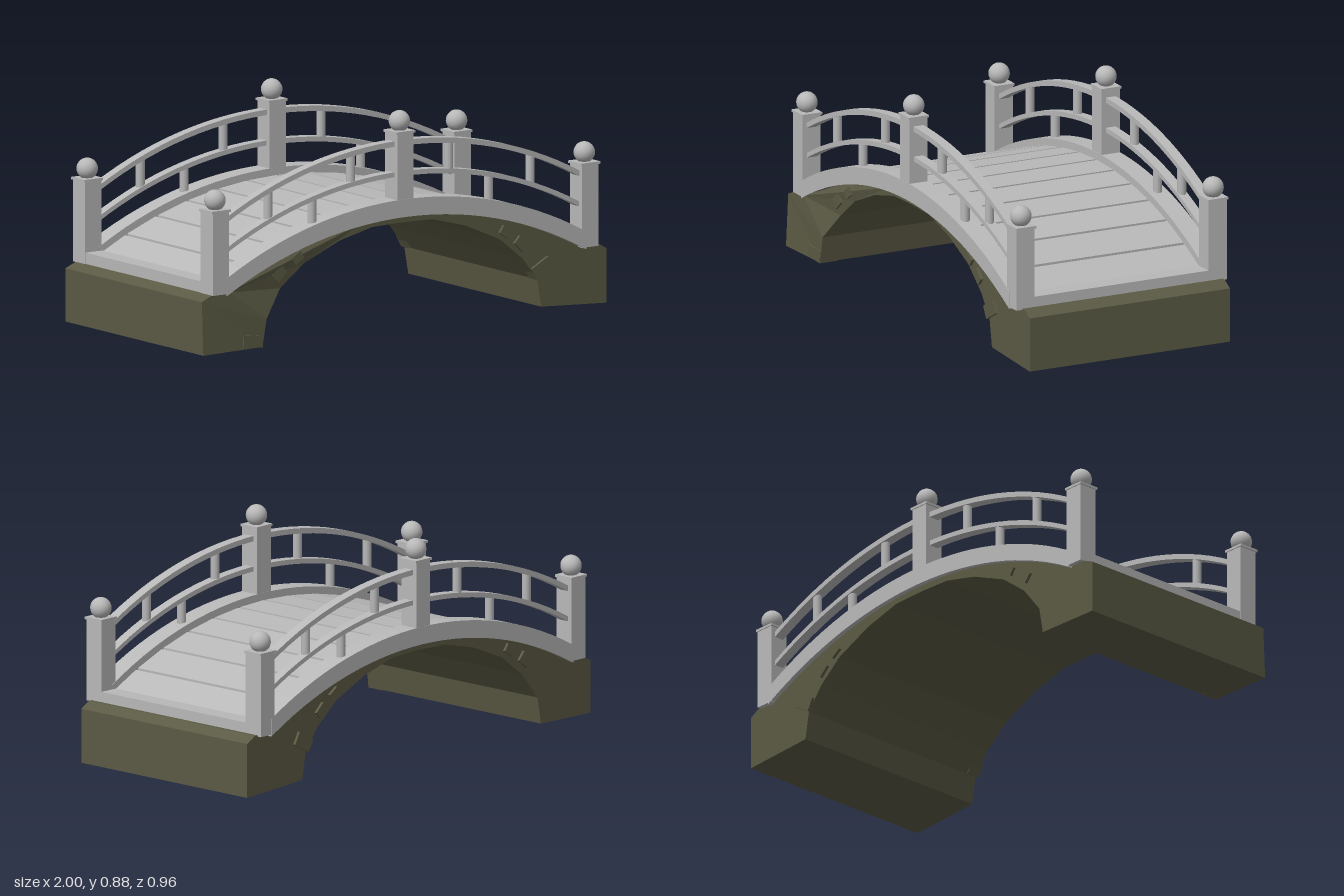
import * as THREE from 'three';

const wood = new THREE.MeshStandardMaterial({ color: 0xb8b8b8 });
wood.name = 'pale grey';
const stone = new THREE.MeshStandardMaterial({ color: 0x5b5a44, flatShading: true });
stone.name = 'mossy stone';

const R = 1.83; // radius shared by deck, beams and rails
const drop = (x) => R - Math.sqrt(R * R - x * x);
const RAIL_Z = 0.432;

function add(parent, name, geometry, material, x = 0, y = 0, z = 0) {
  const mesh = new THREE.Mesh(geometry, material);
  mesh.name = name;
  mesh.position.set(x, y, z);
  parent.add(mesh);
  return mesh;
}

// Extrudes a front-view outline, centred in z
function slab(points, depth) {
  const shape = new THREE.Shape(points.map(([x, y]) => new THREE.Vector2(x, y)));
  return new THREE.ExtrudeGeometry(shape, { depth, bevelEnabled: false }).translate(0, 0, -depth / 2);
}

// Arched bar whose crown is at height top
function archBar(x0, x1, top, height, depth, steps = 28) {
  const upper = [], lower = [];
  for (let i = 0; i <= steps; i++) {
    const x = x0 + ((x1 - x0) * i) / steps;
    upper.push([x, top - drop(x)]);
    lower.unshift([x, top - height - drop(x)]);
  }
  return slab([...lower.reverse(), ...upper.reverse()], depth);
}

function makeStone() {
  const group = new THREE.Group();
  group.name = 'stoneArch';
  const intrados = [
    [-0.71, 0.01], [-0.69, 0.12], [-0.6, 0.23], [-0.48, 0.32], [-0.31, 0.39], [-0.15, 0.428],
    [0, 0.432], [0.15, 0.428], [0.31, 0.385], [0.48, 0.31], [0.59, 0.22], [0.66, 0.13], [0.68, 0.018],
  ];
  const top = [[1, 0], [1, 0.22], [0.955, 0.245], [0.87, 0.245]];
  for (let i = 8; i >= -8; i--) top.push([i * 0.1, 0.46 - drop(i * 0.1)]);
  top.push([-0.87, 0.245], [-0.94, 0.245], [-1, 0.22], [-1, 0.005]);
  const geo = slab([...intrados, ...top], 0.9);
  // the left abutment flares out at the front
  const p = geo.attributes.position;
  for (let i = 0; i < p.count; i++) {
    if (p.getZ(i) > 0) p.setZ(i, p.getX(i) < -0.65 ? (p.getY(i) < 0.15 ? 0.478 : 0.468) : 0.445);
    else p.setZ(i, -0.455);
  }
  geo.computeVertexNormals();
  add(group, 'archBody', geo, stone);

  // proud bricks along the arch edges: x, y, width, height, tilt
  const bricks = [
    [0.68, 0.175, 0.09, 0.055, 0.5], [0.575, 0.285, 0.055, 0.04, -0.75], [0.5, 0.34, 0.05, 0.035, -0.6],
    [-0.61, 0.29, 0.06, 0.045, 0.7], [-0.52, 0.345, 0.05, 0.035, 0.6],
  ];
  for (const side of [1, -1]) {
    for (const [x, y, w, h, tilt] of bricks) {
      add(group, 'brick', new THREE.BoxGeometry(w, h, 0.06), stone, x, y, side > 0 ? 0.427 : -0.437).rotation.z = tilt;
    }
  }
  add(group, 'footBrick', new THREE.BoxGeometry(0.095, 0.05, 0.08), stone, -0.756, 0.036, 0.441).rotation.z = -0.06;
  return group;
}

function makeDeck() {
  const group = new THREE.Group();
  group.name = 'deck';
  const gaps = [-0.87, -0.75, -0.6, -0.45, -0.302, -0.155, -0.008, 0.14, 0.288, 0.435, 0.585, 0.735, 0.865];
  for (let i = 0; i < gaps.length - 1; i++) {
    const a = gaps[i] + 0.006, b = gaps[i + 1] - 0.006;
    const ya = 0.5 - drop(a), yb = 0.5 - drop(b);
    add(group, 'plank', slab([[a, ya - 0.035], [b, yb - 0.035], [b, yb], [a, ya]], 0.8), wood);
  }
  for (const x of [-0.908, 0.9]) add(group, 'endSill', new THREE.BoxGeometry(0.08, 0.05, 0.8), wood, x, 0.262, 0);
  return group;
}

function makePost(x, bottom, top) {
  const post = new THREE.Group();
  post.name = 'post';
  add(post, 'postShaft', new THREE.BoxGeometry(0.08, top - bottom, 0.082), wood, x, (top + bottom) / 2, 0);
  add(post, 'postCap', new THREE.BoxGeometry(0.092, 0.01, 0.09), wood, x, top - 0.001, 0);
  add(post, 'postBall', new THREE.SphereGeometry(0.043, 20, 14), wood, x, top + 0.04, 0);
  return post;
}

function makeRailing(z) {
  const group = new THREE.Group();
  group.name = 'railing';
  group.position.z = z;
  add(group, 'sideBeam', archBar(-0.88, 0.88, 0.53, 0.072, 0.084), wood);
  add(group, 'middleRail', archBar(-0.88, 0.88, 0.64, 0.02, 0.042), wood);
  add(group, 'topRail', archBar(-0.88, 0.88, 0.765, 0.022, 0.044), wood);
  group.add(makePost(-0.91, 0.24, 0.577), makePost(-0.006, 0.46, 0.8), makePost(0.9, 0.24, 0.577));
  // short balusters: upper pairs, then the lower pair
  const baluster = (x, low, high) =>
    add(group, 'baluster', new THREE.CylinderGeometry(0.018, 0.018, high - low, 14), wood, x, (low + high) / 2 - drop(x), 0);
  for (const x of [-0.65, -0.245, 0.235, 0.635]) baluster(x, 0.63, 0.755);
  for (const x of [-0.435, 0.43]) baluster(x, 0.52, 0.63);
  return group;
}

export function createModel() {
  const model = new THREE.Group();
  model.name = 'archedBridge';
  model.add(makeStone(), makeDeck(), makeRailing(RAIL_Z), makeRailing(-RAIL_Z));
  return model;
}
